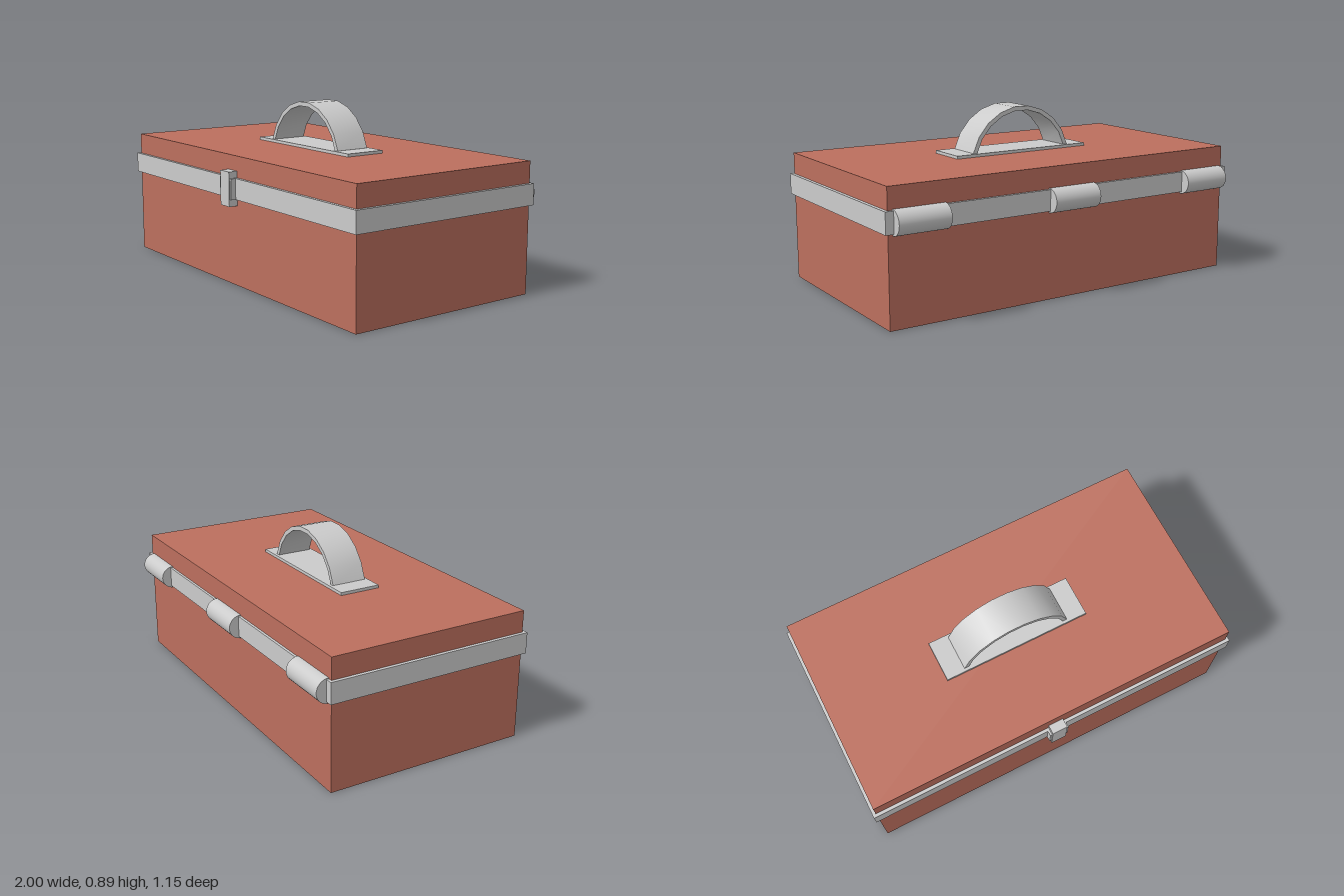
import * as THREE from 'three';
import { toCreasedNormals } from 'three/addons/utils/BufferGeometryUtils.js';

export function createModel() {
  const group = new THREE.Group();
  const red = new THREE.MeshStandardMaterial({ color: 0xbc6f5e });
  const grey = new THREE.MeshStandardMaterial({ color: 0xcccccc });

  const add = (name, geometry, material) => {
    const mesh = new THREE.Mesh(geometry, material);
    mesh.name = name;
    group.add(mesh);
    return mesh;
  };
  // Box given by its extents along each axis
  const box = (name, material, [x0, x1], [y0, y1], [z0, z1]) =>
    add(name, new THREE.BoxGeometry(x1 - x0, y1 - y0, z1 - z0), material)
      .position.set((x0 + x1) / 2, (y0 + y1) / 2, (z0 + z1) / 2);

  // Case: base and lid meet behind the metal band
  box('base', red, [-0.983, 0.983], [0, 0.49], [-0.513, 0.529]);
  box('lid', red, [-0.983, 0.983], [0.49, 0.653], [-0.513, 0.529]);
  box('band', grey, [-1, 1], [0.44, 0.545], [-0.526, 0.545]);

  // Front latch: wide collar with a taller tongue
  box('latchCollar', grey, [-0.051, 0.051], [0.44, 0.545], [0.529, 0.571]);
  box('latchTongue', grey, [-0.04, 0.04], [0.405, 0.578], [0.529, 0.576]);

  // Hinge barrels along the back
  for (const x of [-0.831, -0.002, 0.827]) {
    const hinge = add('hinge', new THREE.CylinderGeometry(0.06, 0.06, 0.264, 32), grey);
    hinge.rotation.z = Math.PI / 2;
    hinge.position.set(x, 0.49, -0.516);
  }

  // Handle plate and arched strap
  box('handlePlate', grey, [-0.388, 0.388], [0.653, 0.668], [-0.099, 0.116]);
  const segments = 9, sweep = THREE.MathUtils.degToRad(75);
  const arc = (radius) => Array.from({ length: segments + 1 }, (_, i) => {
    const a = sweep * (1 - (2 * i) / segments);
    return new THREE.Vector2(radius * Math.sin(a), 0.592 + radius * Math.cos(a));
  });
  const profile = new THREE.Shape([...arc(0.297), ...arc(0.275).reverse()]);
  const strap = new THREE.ExtrudeGeometry(profile, { depth: 0.184, bevelEnabled: false });
  add('handleStrap', toCreasedNormals(strap, 0.6), grey).position.z = -0.083;

  return group;
}
